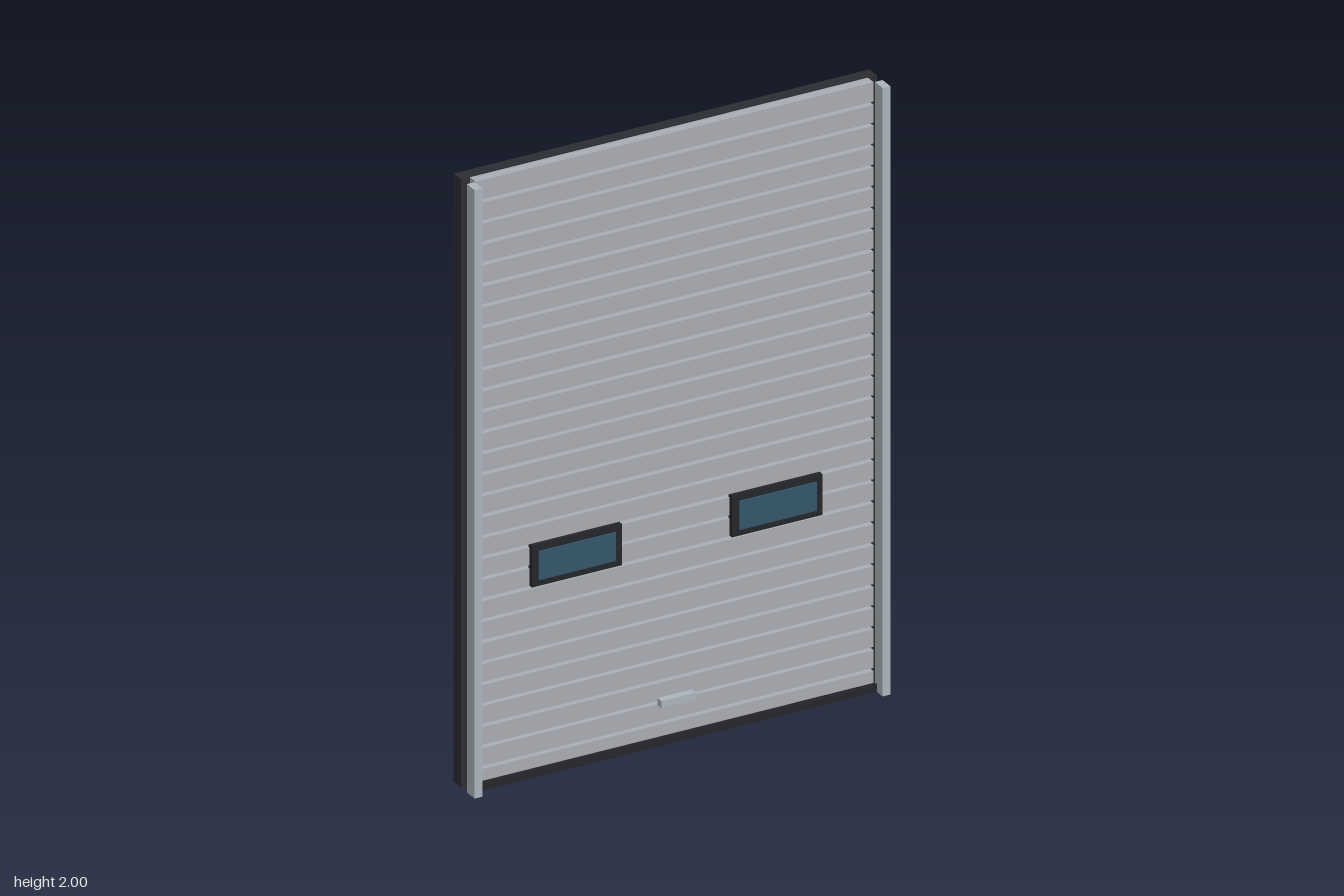
import * as THREE from 'three';

const mat = (name, color) => {
  const m = new THREE.MeshStandardMaterial({ color });
  m.name = name;
  return m;
};

export function createModel() {
  const steel = mat('slat steel', 0xa9acb2);
  const rail = mat('rail aluminium', 0xabb4bb);
  const dark = mat('dark backing', 0x2c2d33);
  const black = mat('black trim', 0x23252a);
  const glass = mat('blue glass', 0x34566a);

  const model = new THREE.Group();
  model.name = 'rollerDoor';

  // Box given by its minimum and maximum on each axis
  const box = (name, material, [x0, x1], [y0, y1], [z0, z1], parent = model) => {
    const mesh = new THREE.Mesh(new THREE.BoxGeometry(x1 - x0, y1 - y0, z1 - z0), material);
    mesh.position.set((x0 + x1) / 2, (y0 + y1) / 2, (z0 + z1) / 2);
    mesh.name = name;
    parent.add(mesh);
    return mesh;
  };

  // Backing panel and bottom seal
  box('backPanel', dark, [-0.7, 0.7], [0, 2], [-0.063, -0.018]);
  box('bottomBar', black, [-0.675, 0.675], [0, 0.025], [-0.018, 0.03]);

  // Horizontal slats with narrow open grooves between them
  const slats = new THREE.Group();
  slats.name = 'slats';
  model.add(slats);
  const count = 29, pitch = 2 / count, groove = 0.011;
  for (let i = 0; i < count; i++) {
    const bottom = i === 0 ? 0.025 : i * pitch + groove / 2;
    const top = i === count - 1 ? 2 : (i + 1) * pitch - groove / 2;
    box('slat', steel, [-0.67, 0.67], [bottom, top], [-0.018, 0.016], slats);
  }

  // Guide rails and framed windows, mirrored
  for (const side of [1, -1]) {
    const span = (a, b) => (side > 0 ? [a, b] : [-b, -a]);
    const label = side > 0 ? 'left' : 'right';
    box(label + 'Rail', rail, span(0.674, 0.7), [0, 2], [0.016, 0.063]);
    box(label + 'WindowFrame', black, span(0.185, 0.489), [0.628, 0.763], [0.01, 0.031]);
    box(label + 'WindowGlass', glass, span(0.208, 0.468), [0.649, 0.743], [0.029, 0.036]);
  }

  // Lift handle
  box('handle', rail, [-0.058, 0.058], [0.13, 0.153], [0.016, 0.04]);

  return model;
}
